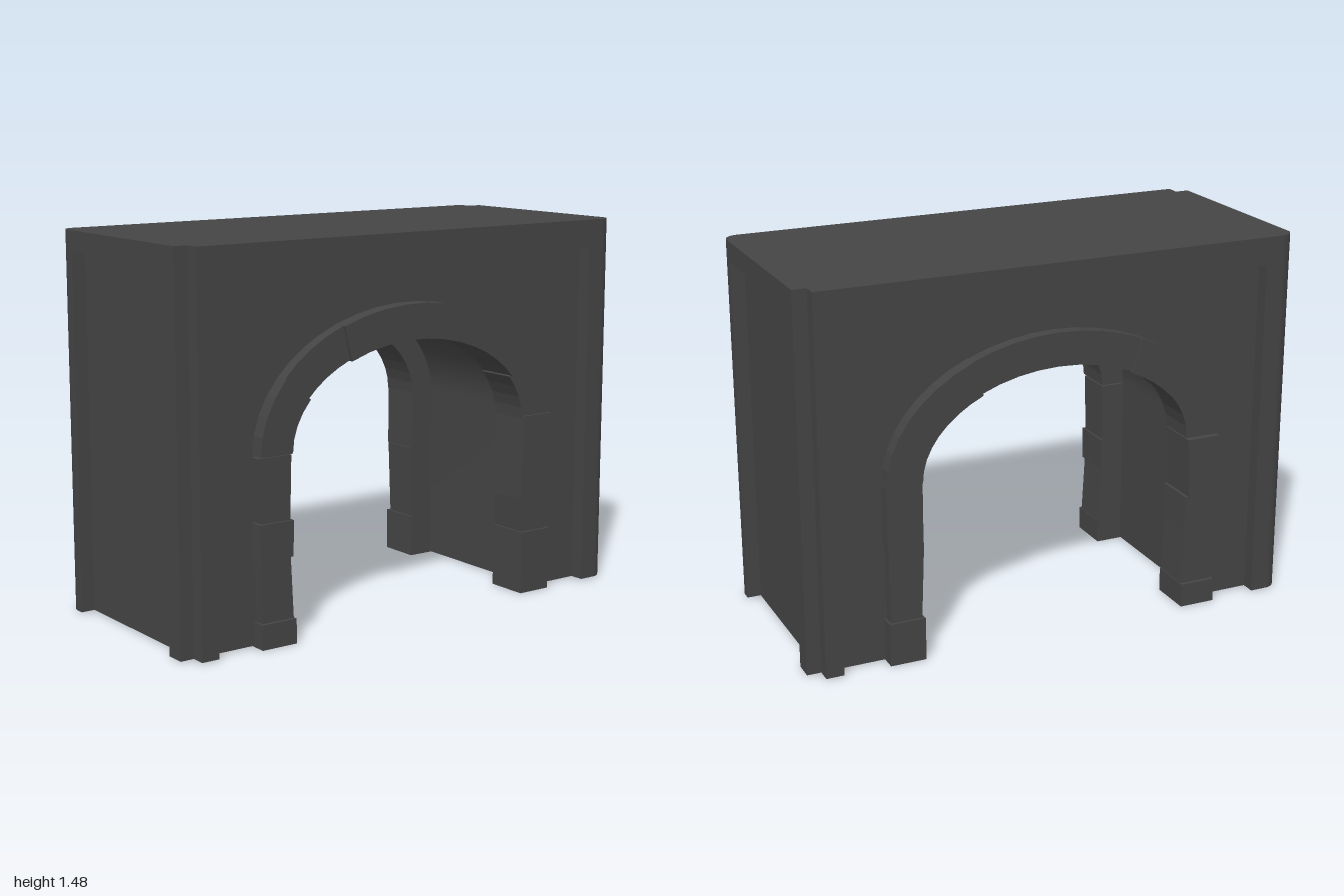
import * as THREE from 'three';
import { toCreasedNormals } from 'three/addons/utils/BufferGeometryUtils.js';

const H = 1.475;                // total height
const PX = 0.945, PZ = 0.385;   // recessed wall planes
const FX = 1, FZ = 0.442;       // raised frame planes
const BASE = 0.004;             // lower edge of the shell, just above the stone feet
const SPRING = 0.71;            // height where the arch starts to curve

const material = new THREE.MeshStandardMaterial({ color: 0x444444, side: THREE.DoubleSide });

function add(parent, name, geometry) {
  const mesh = new THREE.Mesh(geometry, material);
  mesh.name = name;
  parent.add(mesh);
  return mesh;
}

function polygon(points) {
  return new THREE.Shape(points.map(([x, y]) => new THREE.Vector2(x, y)));
}

// Extrude an outline between two z planes
function prism(shape, z0, z1) {
  const g = new THREE.ExtrudeGeometry(shape, { depth: z1 - z0, bevelEnabled: false, curveSegments: 10 });
  return g.translate(0, 0, z0);
}

// Point on an elliptic arch, angle in degrees from +x
function archPoint(a, b, deg) {
  const t = THREE.MathUtils.degToRad(deg);
  return [a * Math.cos(t), SPRING + b * Math.sin(t)];
}

// Opening of the passage: straight jambs and an elliptic head
function liningPath() {
  const pts = [[0.65, BASE]];
  for (let i = 0; i <= 28; i++) pts.push(archPoint(0.65, 0.46, (180 * i) / 28));
  pts.push([-0.65, BASE]);
  return pts;
}

// Half of the shell; turned 180 degrees for the other half
function buildHalf(name) {
  const half = new THREE.Group();
  half.name = name;

  // Recessed wall with the arched opening, and recessed end wall
  const outline = [[0.65, BASE], [PX, BASE], [PX, H], [-PX, H], [-PX, BASE], [-0.65, BASE]];
  const wall = polygon([...outline, ...liningPath().reverse().slice(1, -1)]);
  add(half, 'archedWall', new THREE.ShapeGeometry(wall).translate(0, 0, PZ));
  add(half, 'endWall', new THREE.PlaneGeometry(2 * PZ, H - BASE)
    .rotateY(Math.PI / 2).translate(PX, (H + BASE) / 2, 0));

  // Wall frame: square post on one side, slightly uneven beam on top
  add(half, 'wallPost', prism(polygon([
    [-PX, BASE], [-0.875, BASE], [-0.87, 0.7], [-0.875, H], [-PX, H],
  ]), PZ, FZ));
  add(half, 'wallBeam', prism(polygon([
    [-0.875, 1.365], [-0.35, 1.358], [0.1, 1.369], [0.875, 1.366], [0.875, H], [-0.875, H],
  ]), PZ, FZ));

  // End frame
  add(half, 'endPost', prism(polygon([
    [0.308, BASE], [PZ, BASE], [PZ, H], [0.313, H], [0.305, 0.7],
  ]), PX, FX).rotateY(Math.PI / 2));
  add(half, 'endBeam', prism(polygon([
    [-0.35, 1.397], [0, 1.392], [0.313, 1.402], [0.313, H], [-0.35, H],
  ]), PX, FX).rotateY(Math.PI / 2));

  // Rounded corner post joining the two frames
  const r = 0.06;
  const corner = new THREE.Shape();
  corner.moveTo(0.875, -PZ);
  corner.lineTo(0.875, -FZ);
  corner.lineTo(FX - r, -FZ);
  corner.absarc(FX - r, -FZ + r, r, -Math.PI / 2, 0, false);
  corner.lineTo(FX, -0.35);
  corner.lineTo(PX, -0.35);
  corner.lineTo(PX, -PZ);
  add(half, 'roundedCornerPost',
    toCreasedNormals(prism(corner, BASE, H).rotateX(-Math.PI / 2), 0.5));
  return half;
}

// Stone surround: jamb blocks on both sides and wedge stones between joints.
// Jamb row: [bottom, top, inner at bottom, inner at top, outer at bottom, outer at top, front]
// Wedge row: [outer angles from, to, inner angles from, to, inner radius, outer radius, front]
function buildSurround(name, leftJamb, rightJamb, wedges) {
  const group = new THREE.Group();
  group.name = name;
  const back = 0.27;
  [[leftJamb, 1], [rightJamb, -1]].forEach(([rows, side]) => {
    for (const [y0, y1, in0, in1, out0, out1, front] of rows) {
      add(group, 'jambStone', prism(polygon([
        [side * in0, y0], [side * out0, y0], [side * out1, y1], [side * in1, y1],
      ]), back, front));
    }
  });
  for (const [t0, t1, u0, u1, inner, outer, front] of wedges) {
    const n = Math.max(4, Math.round((t1 - t0) / 8));
    const outside = [], inside = [];
    for (let i = 0; i <= n; i++) {
      outside.push(archPoint(outer, outer - 0.19, t0 + ((t1 - t0) * i) / n));
      inside.unshift(archPoint(inner, inner - 0.187, u0 + ((u1 - u0) * i) / n));
    }
    add(group, 'wedgeStone', prism(polygon([...outside, ...inside]), back, front));
  }
  return group;
}

export function createModel() {
  const model = new THREE.Group();
  model.name = 'archwayBlock';

  // Shell halves
  model.add(buildHalf('frontHalf'));
  const rear = buildHalf('rearHalf');
  rear.rotation.y = Math.PI;
  model.add(rear);

  // Roof, flush with the tops of the frames
  add(model, 'roof', new THREE.PlaneGeometry(2 * PX, 2 * PZ).rotateX(-Math.PI / 2).translate(0, H, 0));

  // Passage lining: a strip bent along the opening
  const path = liningPath();
  const strip = new THREE.PlaneGeometry(1, 2 * PZ, path.length - 1, 1);
  const pos = strip.attributes.position;
  for (let i = 0; i < pos.count; i++) {
    const [x, y] = path[i % path.length];
    pos.setXYZ(i, x, y, pos.getY(i));
  }
  strip.computeVertexNormals();
  add(model, 'passageLining', strip);

  // Front surround
  model.add(buildSurround('frontSurround', [
    [0, 0.25, 0.546, 0.546, 0.688, 0.69, 0.441],
    [0.25, 0.385, 0.555, 0.548, 0.677, 0.68, 0.43],
    [0.385, 0.72, 0.54, 0.549, 0.68, 0.692, 0.441],
  ], [
    [0, 0.095, 0.542, 0.542, 0.69, 0.69, 0.444],
    [0.095, 0.33, 0.545, 0.557, 0.682, 0.685, 0.43],
    [0.33, 0.465, 0.552, 0.55, 0.694, 0.694, 0.441],
    [0.465, 0.705, 0.558, 0.552, 0.682, 0.694, 0.43],
  ], [
    [0, 31, 0, 29, 0.546, 0.688, 0.43],
    [31, 62, 29, 57.5, 0.553, 0.692, 0.44],
    [62, 118, 57.5, 122, 0.552, 0.69, 0.447],
    [118, 147, 122, 149, 0.556, 0.69, 0.433],
    [147, 180, 149, 180, 0.552, 0.69, 0.441],
  ]));

  // Rear surround, turned to face the back
  const back = buildSurround('rearSurround', [
    [0, 0.095, 0.545, 0.545, 0.69, 0.69, 0.446],
    [0.095, 0.33, 0.548, 0.562, 0.682, 0.685, 0.431],
    [0.33, 0.465, 0.552, 0.554, 0.692, 0.692, 0.438],
    [0.465, 0.705, 0.566, 0.555, 0.69, 0.692, 0.446],
  ], [
    [0, 0.17, 0.548, 0.548, 0.69, 0.69, 0.441],
    [0.17, 0.47, 0.558, 0.546, 0.682, 0.686, 0.431],
    [0.47, 0.71, 0.552, 0.552, 0.692, 0.692, 0.441],
  ], [
    [0, 33, 0, 31, 0.554, 0.69, 0.432],
    [33, 60, 31, 56, 0.55, 0.69, 0.441],
    [60, 120, 56, 124, 0.554, 0.688, 0.432],
    [120, 180, 124, 180, 0.55, 0.69, 0.441],
  ]);
  back.rotation.y = Math.PI;
  model.add(back);

  return model;
}
